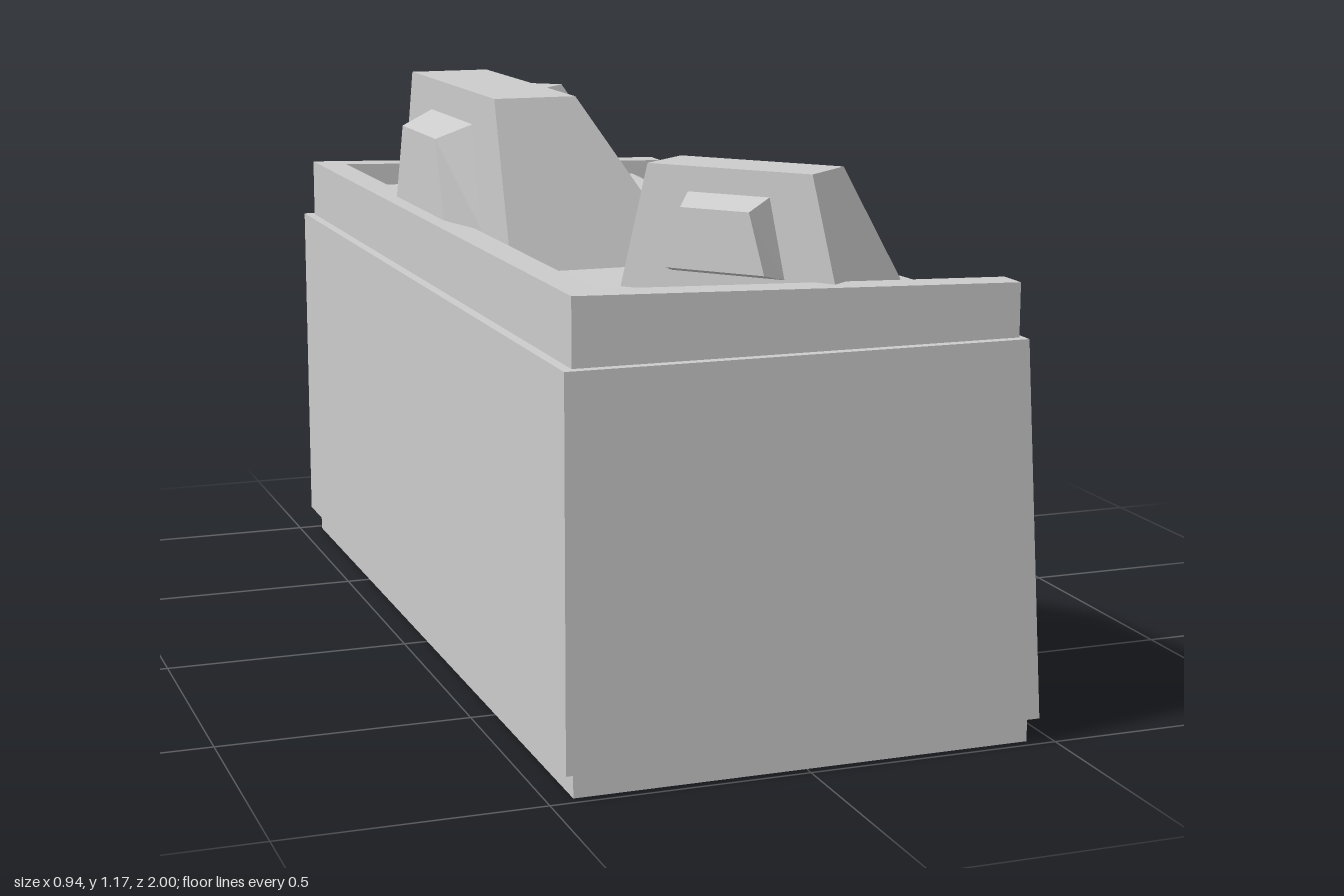
import * as THREE from 'three';
import { toCreasedNormals } from 'three/addons/utils/BufferGeometryUtils.js';

const material = new THREE.MeshStandardMaterial({ color: 0xcccccc, side: THREE.DoubleSide });

function addMesh(parent, name, geometry) {
  const mesh = new THREE.Mesh(geometry, material);
  mesh.name = name;
  parent.add(mesh);
  return mesh;
}

function fromTriangles(points) {
  const g = new THREE.BufferGeometry().setFromPoints(points);
  g.computeVertexNormals();
  return g;
}

// Flat four-cornered faces
const quads = (list) => fromTriangles(list.flatMap(([a, b, c, d]) => [a, b, c, a, c, d]));

// Completes a plan outline [x, z] drawn for z >= 0 with its mirror image
function mirrored(half) {
  const other = half.filter((p) => p[1] !== 0).map(([x, z]) => [x, -z]).reverse();
  return [...half, ...other];
}

// Solid through stacked plan outlines; a height may depend on x
function loft(layers, crease) {
  const rings = layers.map(({ outline, y }) =>
    outline.map(([x, z]) => new THREE.Vector3(x, typeof y === 'function' ? y(x) : y, z)));
  const tris = [];
  for (let l = 0; l < rings.length - 1; l++) {
    const a = rings[l], b = rings[l + 1];
    a.forEach((p, i) => {
      const j = (i + 1) % a.length;
      tris.push(p, b[i], b[j], p, b[j], a[j]);
    });
  }
  [0, rings.length - 1].forEach((l) => {
    const flat = layers[l].outline.map(([x, z]) => new THREE.Vector2(x, z));
    THREE.ShapeUtils.triangulateShape(flat, []).forEach(([a, b, c]) => {
      const r = rings[l];
      tris.push(...(l === 0 ? [r[a], r[b], r[c]] : [r[a], r[c], r[b]]));
    });
  });
  const g = fromTriangles(tris);
  return crease ? toCreasedNormals(g, crease) : g;
}

// Monitor facing +x, its lower front edge on the origin
function createMonitor(name, { low, high, depth, top, height, stub }) {
  const group = new THREE.Group();
  group.name = name;
  const slope = depth - top;
  const normal = new THREE.Vector3(height, slope, 0).normalize();
  const width = (v) => THREE.MathUtils.lerp(low, high, v);
  const front = (u, v, n = 0) =>
    new THREE.Vector3(-v * slope, v * height, -u * width(v)).addScaledVector(normal, n);
  const ring = (u, v0, v1, f) => [f(-u, v0), f(u, v0), f(u, v1), f(-u, v1)];
  const around = (f) => [0, 1, 2, 3].map((k) => f(k, (k + 1) % 4));

  const U = 0.87, V0 = 0.06, V1 = 0.91, recess = height * 0.13;
  const outer = ring(1, 0, 1, (u, v) => front(u, v));
  const inner = ring(U, V0, V1, (u, v) => front(u, v));
  const deep = ring(U, V0, V1, (u, v) => front(u, v, -recess));
  const back = ring(1, 0, 1, (u, v) => new THREE.Vector3(-depth, v * height, -u * width(v)));
  addMesh(group, 'monitorCase', quads([
    ...around((k, j) => [outer[k], outer[j], inner[j], inner[k]]),
    ...around((k, j) => [inner[k], inner[j], deep[j], deep[k]]),
    ...around((k, j) => [outer[j], outer[k], back[k], back[j]]),
    [back[0], back[3], back[2], back[1]],
  ]));

  // Bulging glass
  const screen = new THREE.PlaneGeometry(2, 2, 16, 12);
  const pos = screen.attributes.position;
  for (let i = 0; i < pos.count; i++) {
    const a = pos.getX(i), b = pos.getY(i);
    const bulge = recess * (-1 + 0.95 * (1 - a ** 4) * (1 - b ** 4));
    const p = front(a * U, THREE.MathUtils.lerp(V0, V1, (b + 1) / 2), bulge);
    pos.setXYZ(i, p.x, p.y, p.z);
  }
  screen.computeVertexNormals();
  addMesh(group, 'screen', screen);

  // Tapered housing on the back
  const housing = (x, y0, y1, w0, w1) => [[-w0, y0], [w0, y0], [w1, y1], [-w1, y1]]
    .map(([w, y]) => new THREE.Vector3(x, y * height, -w * low));
  const s = housing(-depth, 0.17, 0.8, 0.51, 0.37);
  const t = housing(-depth - stub, 0.23, 0.71, 0.45, 0.31);
  addMesh(group, 'rearHousing', quads([
    ...around((k, j) => [s[j], s[k], t[k], t[j]]),
    [t[0], t[3], t[2], t[1]],
  ]));
  return group;
}

export function createModel() {
  const model = new THREE.Group();
  model.name = 'controlDesk';

  // Plinth with small corner feet
  const plinth = mirrored([[0.12, 0], [0.13, 0.13], [0.2, 0.28], [0.335, 0.44],
    [0.41, 0.91], [0.45, 0.91], [0.45, 0.98], [-0.45, 0.98]]);
  addMesh(model, 'plinth', loft([{ outline: plinth, y: 0 }, { outline: plinth, y: 0.05 }]));

  // Cabinet with leaning wings and a curved knee recess
  const knee = new THREE.SplineCurve([[-0.05, 0], [-0.04, 0.12], [0.01, 0.27], [0.17, 0.38], [0.335, 0.435]]
    .map(([x, z]) => new THREE.Vector2(x, z))).getPoints(14).map((p) => [p.x, p.y]);
  const cabinet = (lean) => mirrored([...knee, [0.345 + lean, 0.445],
    [0.42 + lean, 0.91], [0.42 + lean, 1], [-0.47, 1]]);
  addMesh(model, 'cabinet', loft([
    { outline: cabinet(0.045), y: 0.05 }, { outline: cabinet(0), y: 0.778 }], 0.4));

  // Desk top with a rounded-off front edge
  const deck = (k) => mirrored([[0.07 + 0.035 * k, 0], [0.11 + 0.03 * k, 0.22 - 0.01 * k],
    [0.285 + 0.03 * k, 0.44], [0.335 + 0.045 * k, 0.915], [-0.4, 0.915]]);
  addMesh(model, 'deskTop', loft([
    { outline: deck(1), y: 0.77 }, { outline: deck(0.85), y: 0.815 },
    { outline: deck(0.5), y: 0.84 }, { outline: deck(0), y: 0.85 }]));

  // Raised rim around the back and sides
  const rim = mirrored([[-0.385, 0.915], [0.41, 0.915], [0.41, 0.98], [-0.45, 0.98]]);
  addMesh(model, 'rim', loft([
    { outline: rim, y: 0.77 }, { outline: rim, y: (x) => 0.892 - 0.029 * x }]));

  // Keyboard sloping down towards the operator
  const keyboard = new THREE.Group();
  keyboard.name = 'keyboard';
  const plate = mirrored([[0.25, 0.265], [0.115, 0.22]]);
  const slopeY = (x) => 0.812 - 0.45 * (x - 0.115);
  addMesh(keyboard, 'keyboardBody', loft([
    { outline: plate, y: (x) => slopeY(x) - 0.018 }, { outline: plate, y: slopeY }]));
  const keyGeometry = new THREE.BoxGeometry(0.018, 0.008, 0.022);
  for (let row = 0; row < 4; row++) {
    for (let col = 0; col < 14; col++) {
      const x = 0.148 + row * 0.025;
      const key = addMesh(keyboard, 'key', keyGeometry);
      key.position.set(x, slopeY(x) + 0.003, (col - 6.5) * (0.029 + row * 0.0012));
      key.rotation.z = -Math.atan(0.45);
    }
  }
  model.add(keyboard);

  // Large middle monitor and two smaller ones turned inwards
  const middle = createMonitor('middleMonitor',
    { low: 0.41, high: 0.305, depth: 0.37, top: 0.165, height: 0.325, stub: 0.07 });
  middle.position.set(-0.012, 0.85, 0);
  model.add(middle);
  for (const side of [1, -1]) {
    const monitor = createMonitor(side > 0 ? 'leftMonitor' : 'rightMonitor',
      { low: 0.225, high: 0.168, depth: 0.28, top: 0.13, height: 0.235, stub: 0.055 });
    monitor.position.set(0.127, 0.85, side * 0.6);
    monitor.rotation.y = side * 0.715;
    model.add(monitor);
  }
  return model;
}
